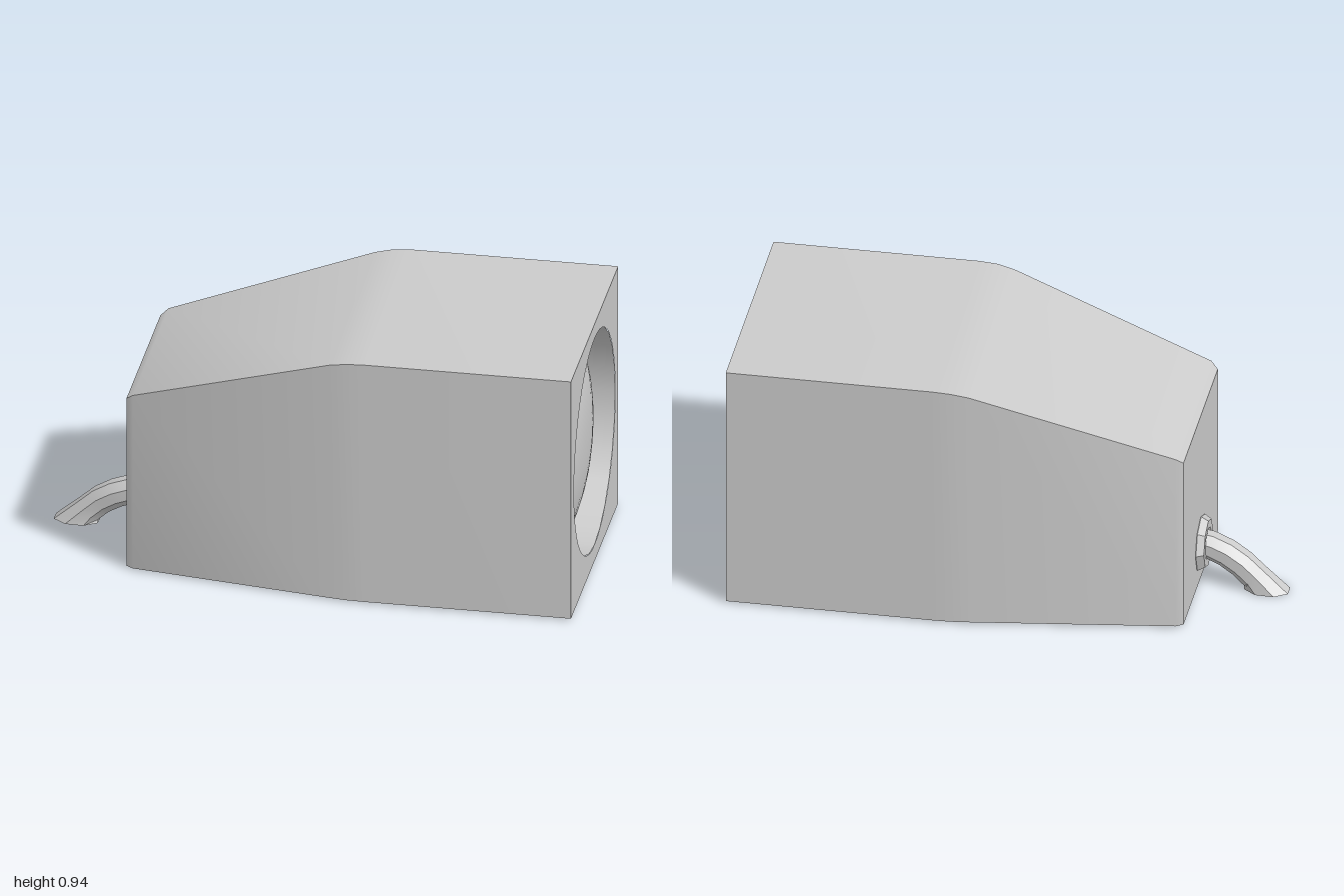
import * as THREE from 'three';
import { toCreasedNormals } from 'three/addons/utils/BufferGeometryUtils.js';

const material = new THREE.MeshStandardMaterial({ color: 0xcccccc });
const V = (x, y, z) => new THREE.Vector3(x, y, z);

function add(parent, name, geometry, mat = material) {
  const mesh = new THREE.Mesh(geometry, mat);
  mesh.name = name;
  parent.add(mesh);
  return mesh;
}

// Skin over rings of points that run counterclockwise about the loft direction, closed at the end
function loft(rings, crease) {
  const pts = [];
  const n = rings[0].length;
  for (let i = 0; i < rings.length - 1; i++) {
    for (let j = 0; j < n; j++) {
      const k = (j + 1) % n;
      const [a, b, c, d] = [rings[i][j], rings[i][k], rings[i + 1][k], rings[i + 1][j]];
      pts.push(a, b, c, a, c, d);
    }
  }
  const end = rings[rings.length - 1];
  for (let j = 1; j < n - 1; j++) pts.push(end[0], end[j], end[j + 1]);
  return toCreasedNormals(new THREE.BufferGeometry().setFromPoints(pts), crease);
}

export function createModel() {
  const model = new THREE.Group();
  model.name = 'monitor';

  // The unit is turned: its screen looks along local +x
  const unit = new THREE.Group();
  unit.name = 'turnedUnit';
  unit.position.set(0.8525, 0, -0.195);
  unit.rotation.y = 0.31;
  model.add(unit);

  // Casing: distance from the screen face, half width, top height
  const base = 0.007, half = 0.467, top = 0.945;
  const stations = [
    [0, half, top], [-0.745, half, top], [-0.81, 0.465, 0.941],
    [-0.875, 0.457, 0.928], [-1.6, 0.352, 0.692], [-1.626, 0.335, 0.67],
  ];
  add(unit, 'casing', loft(stations.map(([x, w, h]) =>
    [V(x, base, w), V(x, h, w), V(x, h, -w), V(x, base, -w)]), 0.6));

  // Front panel with a round opening
  const radius = 0.408, centreY = 0.48, depth = 0.115, sides = 24;
  const panel = new THREE.Shape([
    new THREE.Vector2(-half, base), new THREE.Vector2(half, base),
    new THREE.Vector2(half, top), new THREE.Vector2(-half, top),
  ]);
  panel.holes.push(new THREE.Path().absarc(0, centreY, radius, 0, Math.PI * 2, true));
  add(unit, 'frontPanel', new THREE.ShapeGeometry(panel, sides).rotateY(Math.PI / 2));

  // Recess wall and the bulging screen inside it
  const turned = (profile) => new THREE.LatheGeometry(profile, sides)
    .rotateZ(-Math.PI / 2).translate(0, centreY, 0);
  add(unit, 'recessWall', turned([new THREE.Vector2(radius, 0), new THREE.Vector2(radius, -depth)]));
  const dome = [];
  for (let i = 0; i <= 10; i++) {
    const r = 1 - i / 10;
    dome.push(new THREE.Vector2(radius * r, -depth + 0.09 * (1 - r ** 2.5)));
  }
  add(unit, 'screen', turned(dome));

  // Cable collar on the back
  const collarMaterial = material.clone();
  collarMaterial.flatShading = true;
  const collar = add(unit, 'cableCollar', new THREE.TorusGeometry(0.075, 0.03, 6, 8), collarMaterial);
  collar.rotation.y = Math.PI / 2;
  collar.position.set(-1.628, 0.152, 0);

  // Cable drooping to the ground, cut level at its end
  const path = new THREE.CatmullRomCurve3([
    V(-1.6, 0.155, 0), V(-1.68, 0.14, 0), V(-1.775, 0.09, -0.012), V(-1.869, 0, -0.02),
  ]);
  const rings = [];
  const steps = 5;
  for (let i = 0; i <= steps; i++) {
    const p = path.getPointAt(i / steps), t = path.getTangentAt(i / steps);
    const s = V(0, 0, 1).addScaledVector(t, -t.z).normalize();
    const w = t.clone().cross(s);
    const r = i === steps ? 0.06 : 0.052;
    const ring = [];
    for (let j = 0; j < 8; j++) {
      const a = ((j + 0.5) / 8) * Math.PI * 2;
      const q = p.clone().addScaledVector(s, r * Math.cos(a)).addScaledVector(w, r * Math.sin(a));
      if (i === steps) q.addScaledVector(t, -q.y / t.y);
      ring.push(q);
    }
    rings.push(ring);
  }
  add(unit, 'cable', loft(rings, 0.5));

  return model;
}
